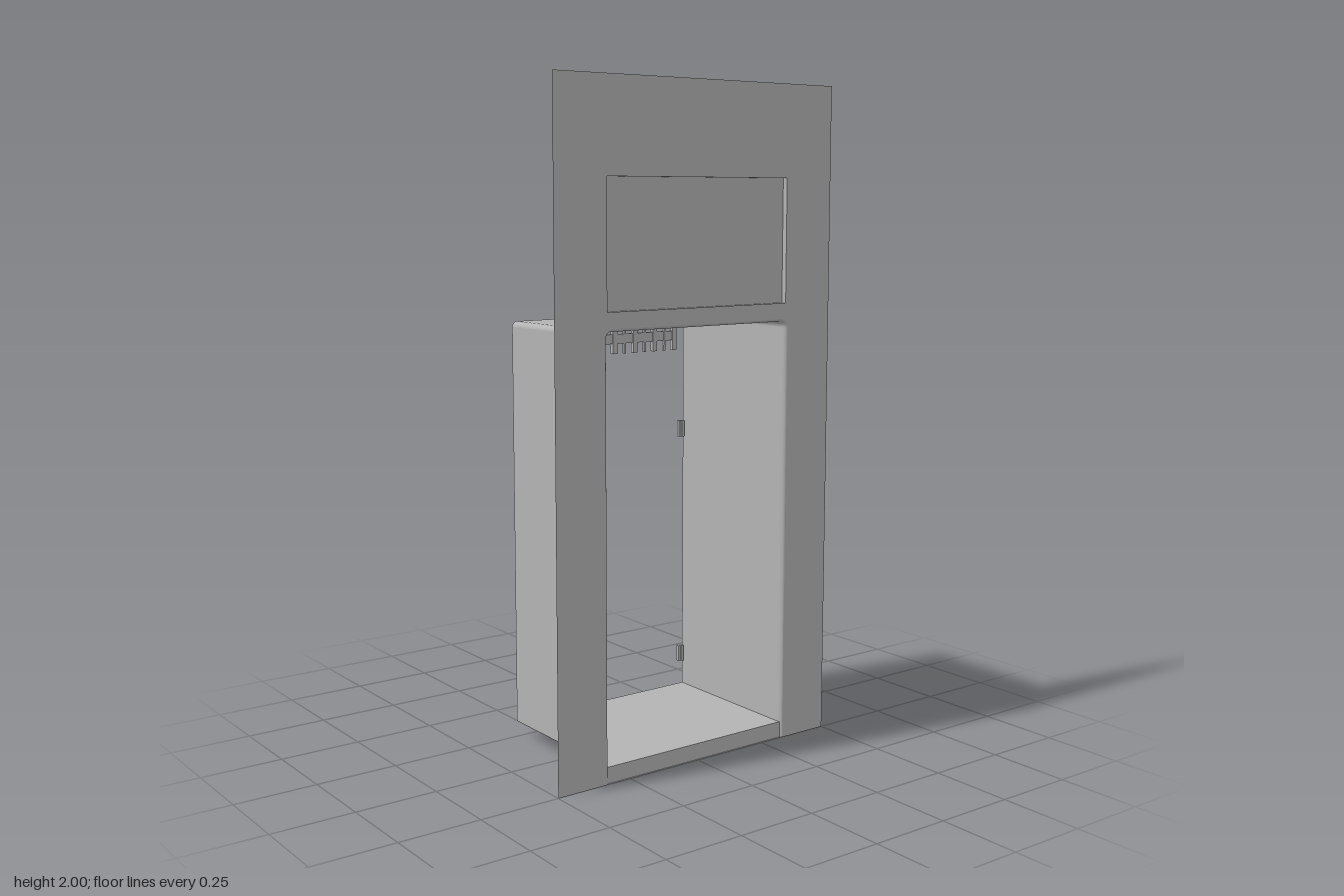
import * as THREE from 'three';

const metal = new THREE.MeshStandardMaterial({ color: 0xb3b3b3, side: THREE.DoubleSide });
metal.name = 'grey sheet metal';

const FACE = 0.25;      // plane of the front panel
const BACK = 0.233;     // depth at which the rim flare and the pocket end
const HALF = 0.326;     // half width of the sleeve
const TOP = 1.3;        // top of the sleeve
const FLOOR = 0.05;
const FLARE = 0.009;

// Arch outline in (z, y): two legs and a top with small rounded corners
function archPoints(outset, bottom) {
  const w = HALF + outset, t = TOP + outset, r = 0.018 + outset, steps = 6;
  const pts = [[-w, bottom]];
  for (const [side, start] of [[-1, Math.PI], [1, Math.PI / 2]]) {
    for (let i = 0; i <= steps; i++) {
      const a = start - (i / steps) * Math.PI / 2;
      pts.push([side * (w - r) + r * Math.cos(a), t - r + r * Math.sin(a)]);
    }
  }
  pts.push([w, bottom]);
  return pts;
}

// Skin a list of arch sections along x; each station is [x, outset]
function loftArch(stations, bottom) {
  const pos = [], index = [];
  const n = archPoints(0, bottom).length;
  for (const [x, outset] of stations) {
    for (const [z, y] of archPoints(outset, bottom)) pos.push(x, y, z);
  }
  for (let s = 0; s < stations.length - 1; s++) {
    for (let i = 0; i < n - 1; i++) {
      const a = s * n + i, b = a + n;
      index.push(a, b, a + 1, a + 1, b, b + 1);
    }
  }
  const geo = new THREE.BufferGeometry();
  geo.setAttribute('position', new THREE.Float32BufferAttribute(pos, 3));
  geo.setIndex(index);
  geo.computeVertexNormals();
  return geo;
}

export function createModel() {
  const group = new THREE.Group();
  const add = (name, geo, x = 0, y = 0, z = 0, parent = group) => {
    const mesh = new THREE.Mesh(geo, metal);
    mesh.name = name;
    mesh.position.set(x, y, z);
    parent.add(mesh);
    return mesh;
  };
  // Thin sheets: facing +x, and lying flat
  const upright = (depthZ, height) => new THREE.PlaneGeometry(depthZ, height).rotateY(Math.PI / 2);
  const flat = (width, depthZ) => new THREE.PlaneGeometry(width, depthZ).rotateX(-Math.PI / 2);

  // Front panel: tall sheet with a doorway notch and a window hole
  const outline = [[-0.5, 0], [-0.5, 2], [0.5, 2], [0.5, 0], ...archPoints(FLARE, 0).reverse()];
  const panelShape = new THREE.Shape(outline.map(([u, v]) => new THREE.Vector2(u, v)));
  const winHalf = 0.326, winLow = 1.356, winHigh = 1.726;
  panelShape.holes.push(new THREE.Path([
    new THREE.Vector2(-winHalf, winLow), new THREE.Vector2(winHalf, winLow),
    new THREE.Vector2(winHalf, winHigh), new THREE.Vector2(-winHalf, winHigh),
  ]));
  add('frontPanel', new THREE.ShapeGeometry(panelShape).rotateY(Math.PI / 2), FACE);

  // Shallow rectangular pocket behind the window hole
  const pocket = new THREE.Group();
  pocket.name = 'displayPocket';
  group.add(pocket);
  const depth = FACE - BACK, midX = (FACE + BACK) / 2, midY = (winLow + winHigh) / 2;
  add('pocketBack', upright(winHalf * 2, winHigh - winLow), BACK, midY, 0, pocket);
  for (const y of [winLow, winHigh]) add('pocketLedge', flat(depth, winHalf * 2), midX, y, 0, pocket);
  for (const z of [-winHalf, winHalf]) {
    add('pocketSide', new THREE.PlaneGeometry(depth, winHigh - winLow), midX, midY, z, pocket);
  }

  // Sleeve open at both ends, with a flat floor
  add('sleeve', loftArch([[-0.25, 0], [BACK, 0]], FLOOR));
  add('sleeveFloor', flat(0.494, HALF * 2), -0.003, FLOOR, 0);

  // Rounded flare joining the sleeve to the panel
  const flare = [];
  for (let i = 0; i <= 5; i++) {
    const a = (i / 5) * Math.PI / 2;
    flare.push([BACK + depth * Math.sin(a), FLARE * (1 - Math.cos(a))]);
  }
  add('doorwayRim', loftArch(flare, 0));

  // Sill below the doorway and the flat foot beneath it
  add('sill', upright(HALF * 2 + 0.008, FLOOR), 0.244, FLOOR / 2, 0);
  add('foot', flat(0.034, 0.7), 0.233, 0.0005, 0);

  // Toothed rail across the rear opening
  const rail = new THREE.Group();
  rail.name = 'toothedRail';
  rail.position.set(-0.236, 1.228, 0);
  group.add(rail);
  add('railBar', new THREE.BoxGeometry(0.008, 0.03, 0.56), 0, 0, 0, rail);
  for (let i = 0; i < 15; i++) {
    const wide = i % 2 === 0;
    const z = 0.275 - i * (0.55 / 14);
    add('railTooth', new THREE.BoxGeometry(wide ? 0.014 : 0.01, 0.094, wide ? 0.016 : 0.007), 0, 0, z, rail);
  }

  // Pair of small hinge blocks near one rear edge
  for (const y of [0.16, 0.92]) {
    add('hingeBlock', new THREE.BoxGeometry(0.02, 0.052, 0.01), -0.238, y, -0.31);
    add('hingePin', new THREE.BoxGeometry(0.012, 0.052, 0.008), -0.238, y, -0.301);
  }
  return group;
}
